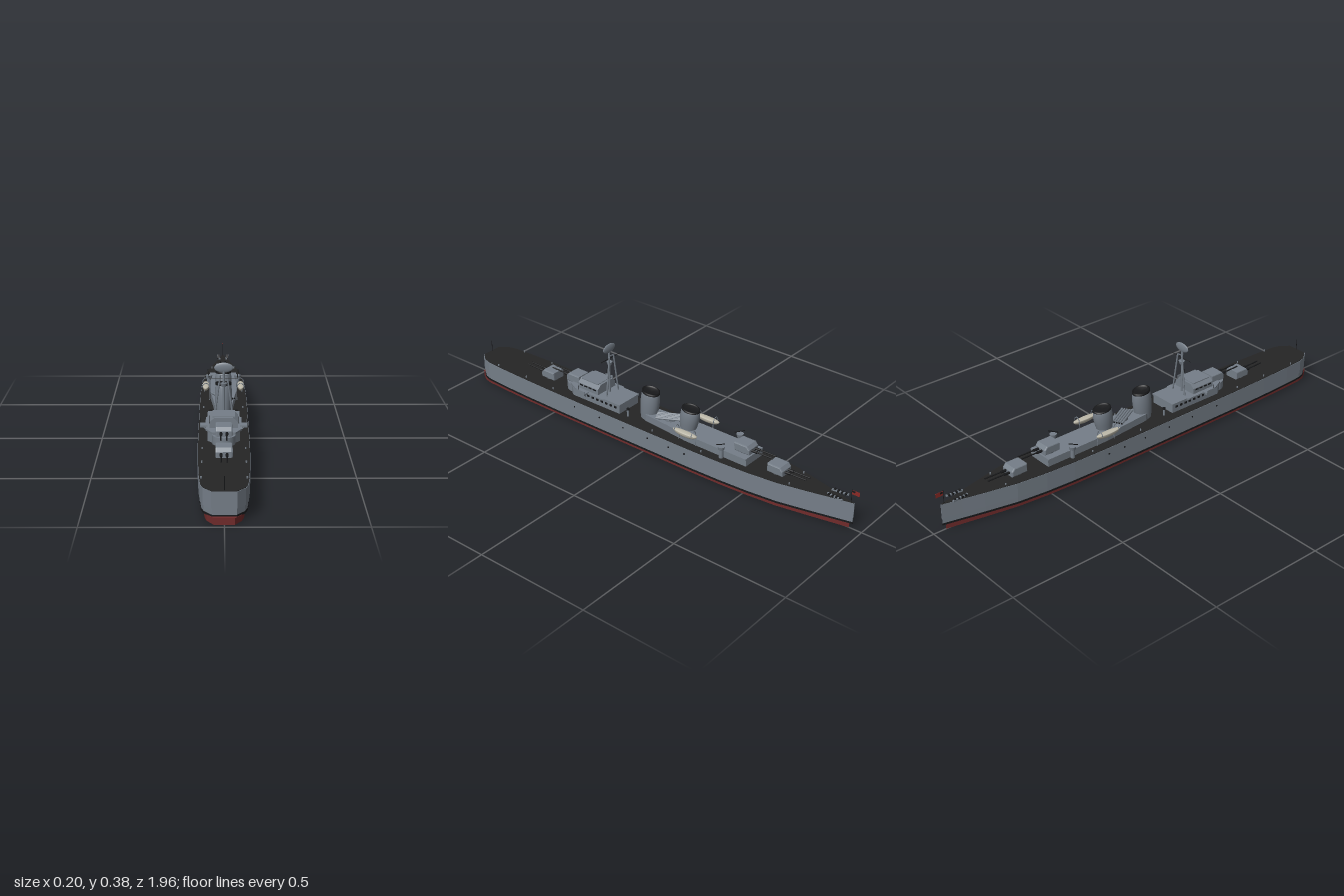
import * as THREE from 'three';

const mat = (name, color, side = THREE.FrontSide) => {
  const m = new THREE.MeshStandardMaterial({ color, side });
  m.name = name;
  return m;
};

export function createModel() {
  const ship = new THREE.Group();
  ship.name = 'warship';
  const grey = mat('hull grey', 0x757e88);
  const dark = mat('deck black', 0x252525);
  const black = mat('gun black', 0x18191b);
  const red = mat('keel red', 0x702b2b);
  const cream = mat('boat cream', 0xbdb9aa);
  const flagRed = mat('flag red', 0x8c2a26, THREE.DoubleSide);

  const add = (name, geo, m, x = 0, y = 0, z = 0, parent = ship) => {
    const mesh = new THREE.Mesh(geo, m);
    mesh.name = name;
    mesh.position.set(x, y, z);
    parent.add(mesh);
    return mesh;
  };
  const box = (name, m, w, h, d, x, y, z, parent) =>
    add(name, new THREE.BoxGeometry(w, h, d), m, x, y, z, parent);
  const cyl = (name, m, r0, r1, h, x, y, z, parent, n = 16) =>
    add(name, new THREE.CylinderGeometry(r1, r0, h, n), m, x, y, z, parent);
  // Round bar between two points
  const bar = (name, m, a, b, r, parent) => {
    const A = new THREE.Vector3(...a), B = new THREE.Vector3(...b);
    const mesh = cyl(name, m, r, r, A.distanceTo(B), 0, 0, 0, parent, 8);
    mesh.position.copy(A).add(B).multiplyScalar(0.5);
    mesh.quaternion.setFromUnitVectors(new THREE.Vector3(0, 1, 0), B.sub(A).normalize());
    return mesh;
  };
  // Vertical prism from a half plan of [x, z] points, mirrored in x
  const slab = (name, m, half, y0, y1, sx = 1, sz = 1, dz = 0) => {
    const pts = [...half, ...half.slice().reverse().map(([x, z]) => [-x, z])]
      .map(([x, z]) => new THREE.Vector2(x * sx, -(z * sz + dz)));
    const geo = new THREE.ExtrudeGeometry(new THREE.Shape(pts), { depth: y1 - y0, bevelEnabled: false });
    geo.rotateX(-Math.PI / 2);
    return add(name, geo, m, 0, y0, 0);
  };

  // Hull, stacked from one plan outline
  const plan = [[0.001, -0.96], [0.02, -0.88], [0.042, -0.79], [0.071, -0.66], [0.086, -0.53],
    [0.094, -0.4], [0.098, -0.25], [0.099, 0], [0.099, 0.45], [0.096, 0.65], [0.091, 0.8],
    [0.085, 0.89], [0.075, 0.925], [0.045, 0.962]];
  slab('keel', red, plan, 0, 0.024, 0.81, 1, 0.015);
  slab('waterlineBand', black, plan, 0.022, 0.03, 0.965);
  slab('lowerHull', grey, plan, 0.03, 0.053, 0.95, 0.998);
  slab('upperHull', grey, plan, 0.053, 0.1145, 1);
  slab('deck', dark, plan, 0.1145, 0.1165, 0.985, 0.997);

  // Portholes
  for (const s of [-1, 1]) {
    for (const z of [0.36, 0.22, 0.09, -0.04, -0.15, -0.23]) {
      const p = cyl('porthole', black, 0.0035, 0.0035, 0.004, s * 0.099, 0.088, z, ship, 10);
      p.rotation.z = Math.PI / 2;
    }
  }

  // Aft deckhouse
  slab('aftDeckhouse', grey, [[0.055, -0.5], [0.055, -0.2], [0.045, -0.1], [0.035, 0.02], [0.022, 0.055]], 0.116, 0.147);
  slab('aftGunPlatform', grey, [[0.058, -0.5], [0.058, -0.4]], 0.143, 0.15);

  // Forward deckhouse and bridge
  slab('forwardDeckhouse', grey, [[0.06, 0.143], [0.062, 0.4], [0.04, 0.43]], 0.116, 0.152);
  slab('bridgeDeck', grey, [[0.063, 0.14], [0.063, 0.22], [0.07, 0.23], [0.07, 0.38], [0.045, 0.43]], 0.152, 0.159);
  cyl('barbette', grey, 0.044, 0.044, 0.035, 0, 0.1325, 0.43, ship, 24);
  const house = new THREE.Shape([[-0.055, 0], [0.055, 0], [0.055, 0.024], [0.036, 0.041], [-0.036, 0.041], [-0.055, 0.024]]
    .map(([x, y]) => new THREE.Vector2(x, y)));
  add('wheelhouse', new THREE.ExtrudeGeometry(house, { depth: 0.11, bevelEnabled: false }), grey, 0, 0.159, 0.265);
  box('wheelhouseRoof', grey, 0.086, 0.004, 0.09, 0, 0.2, 0.32);
  for (const s of [-1, 1]) {
    for (let i = 0; i < 9; i++)
      box('deckhouseWindow', black, 0.003, 0.009, 0.012, s * 0.0613, 0.141, 0.165 + i * 0.025);
    for (let i = 0; i < 4; i++)
      box('wheelhouseWindow', black, 0.003, 0.006, 0.016, s * 0.055, 0.177, 0.285 + i * 0.024);
    // Bridge wings
    box('bridgeWing', grey, 0.03, 0.008, 0.04, s * 0.077, 0.158, 0.33);
    box('wingScreen', grey, 0.003, 0.014, 0.04, s * 0.0905, 0.167, 0.33);
    bar('wingPost', black, [s * 0.09, 0.16, 0.345], [s * 0.09, 0.192, 0.345], 0.001);
    bar('wingBrace', grey, [s * 0.062, 0.135, 0.33], [s * 0.086, 0.156, 0.33], 0.002);
    // Deck vents
    cyl('deckVent', grey, 0.005, 0.005, 0.03, s * 0.05, 0.131, 0.105, ship, 10);
    cyl('ventCap', black, 0.007, 0.006, 0.008, s * 0.05, 0.149, 0.105, ship, 10);
  }

  // Twin gun turrets, dir is the way the barrels point
  const side = new THREE.Shape([[-0.036, 0], [0.036, 0], [0.036, 0.022], [0.024, 0.036], [-0.036, 0.036]]
    .map(([x, y]) => new THREE.Vector2(x, y)));
  const turret = (y, z, dir) => {
    const g = new THREE.Group();
    g.name = 'gunTurret';
    g.position.set(0, y, z);
    g.rotation.y = dir > 0 ? 0 : Math.PI;
    const geo = new THREE.ExtrudeGeometry(side, { depth: 0.052, bevelSize: 0.004, bevelOffset: -0.004, bevelThickness: 0.006, bevelSegments: 2 });
    geo.translate(0, 0, -0.026).rotateY(-Math.PI / 2);
    add('turretHouse', geo, grey, 0, 0.003, 0, g);
    cyl('turretRing', grey, 0.028, 0.028, 0.008, 0, 0.003, 0, g, 20);
    for (const s of [-1, 1]) {
      bar('barrelSleeve', black, [s * 0.011, 0.017, 0.03], [s * 0.011, 0.018, 0.06], 0.0055, g);
      bar('barrel', black, [s * 0.011, 0.018, 0.05], [s * 0.011, 0.02, 0.135], 0.0028, g);
    }
    ship.add(g);
  };
  turret(0.116, 0.578, 1);
  turret(0.15, 0.43, 1);
  turret(0.15, -0.46, -1);
  turret(0.116, -0.618, -1);

  // Raked funnels with black caps
  const funnel = (y, z, h, r) => {
    const f = new THREE.Group();
    f.name = 'funnel';
    f.position.set(0, y, z);
    const profile = [[0.86, 0], [0.98, 0.3], [1.03, 0.6], [0.98, 0.85], [0.9, 0.93]];
    const lean = (geo) => {
      const p = geo.attributes.position;
      for (let i = 0; i < p.count; i++) {
        const t = p.getY(i) / h;
        p.setZ(i, p.getZ(i) * 1.22 - t * 0.012);
        p.setY(i, p.getY(i) + p.getZ(i) * 0.12 * t);
      }
      geo.computeVertexNormals();
      return geo;
    };
    const lathe = (pts) => lean(new THREE.LatheGeometry(pts.map(([a, b]) => new THREE.Vector2(a * r, b * h)), 28));
    add('funnelCasing', lathe(profile), grey, 0, 0, 0, f);
    add('funnelCap', lathe([[0.9, 0.92], [0.97, 0.93], [0.95, 1], [0.82, 1], [0.78, 0.95], [0, 0.95]]), black, 0, 0, 0, f);
    ship.add(f);
  };
  funnel(0.116, 0.034, 0.131, 0.034);
  funnel(0.145, -0.173, 0.094, 0.034);

  // Tripod mast with lookout, yards and oval radar dish
  const mast = new THREE.Group();
  mast.name = 'mast';
  ship.add(mast);
  bar('mastPole', grey, [0, 0.155, 0.248], [0, 0.35, 0.248], 0.0045, mast);
  for (const s of [-1, 1])
    bar('mastLeg', grey, [s * 0.037, 0.157, 0.232], [s * 0.013, 0.333, 0.235], 0.0035, mast);
  cyl('lookout', grey, 0.009, 0.013, 0.014, 0, 0.296, 0.246, mast);
  bar('yard', black, [-0.057, 0.321, 0.242], [0.057, 0.321, 0.242], 0.0015, mast);
  bar('lowerYard', grey, [-0.013, 0.333, 0.238], [0.013, 0.333, 0.238], 0.002, mast);
  add('radarDish', new THREE.SphereGeometry(1, 28, 14), grey, 0, 0.365, 0.247, mast).scale.set(0.037, 0.02, 0.006);

  // Trainable torpedo tubes
  const tubes = new THREE.Group();
  tubes.name = 'torpedoTubes';
  tubes.position.set(0, 0.147, -0.08);
  tubes.rotation.y = 0.5;
  cyl('tubeMount', grey, 0.024, 0.024, 0.008, 0, 0.004, 0, tubes, 20);
  for (let i = -2; i <= 2; i++) {
    bar('torpedoTube', grey, [i * 0.0105, 0.013, -0.057], [i * 0.0105, 0.013, 0.057], 0.005, tubes);
    bar('tubeMouth', black, [i * 0.0105, 0.013, -0.058], [i * 0.0105, 0.013, 0.058], 0.0038, tubes);
  }
  ship.add(tubes);

  for (const s of [-1, 1]) {
    // Ship's boats hung from curved davits
    add('shipsBoat', new THREE.SphereGeometry(1, 20, 12, 0, Math.PI * 2, Math.PI / 2, Math.PI / 2).scale(0.014, 0.02, 0.06), cream, s * 0.074, 0.17, -0.213);
    add('boatCover', new THREE.SphereGeometry(1, 20, 8, 0, Math.PI * 2, 0, Math.PI / 2).scale(0.014, 0.004, 0.06), cream, s * 0.074, 0.17, -0.213);
    for (const z of [-0.255, -0.17]) {
      const path = new THREE.CatmullRomCurve3([[0.058, 0.116], [0.057, 0.165], [0.063, 0.184], [0.075, 0.189], [0.086, 0.18], [0.088, 0.17]]
        .map(([x, y]) => new THREE.Vector3(s * x, y, z)));
      add('davit', new THREE.TubeGeometry(path, 18, 0.0018, 6), grey);
    }
    // Light guns in round tubs
    cyl('gunTubStand', grey, 0.009, 0.009, 0.04, s * 0.062, 0.136, -0.385, ship, 12);
    cyl('gunTub', grey, 0.012, 0.015, 0.014, s * 0.062, 0.161, -0.385);
    bar('lightGun', black, [s * 0.062, 0.165, -0.36], [s * 0.066, 0.188, -0.405], 0.002);
    // Stern racks following the deck edge
    const rack = box('depthChargeRack', grey, 0.008, 0.006, 0.07, s * 0.02, 0.124, -0.885);
    rack.rotation.y = s * -0.12;
    for (let i = 0; i < 4; i++) {
      const drum = cyl('depthCharge', black, 0.0045, 0.0045, 0.011, s * 0.02, 0.126, -0.861 - i * 0.016, ship, 10);
      drum.rotation.z = Math.PI / 2;
    }
    // Bollards
    for (const z of [0.83, 0.66, 0.5, -0.05, -0.3, -0.7])
      cyl('bollard', grey, 0.003, 0.003, 0.008, s * (z < -0.6 ? 0.05 : 0.081), 0.12, z, ship, 8);
  }

  // Staffs and flag
  bar('bowStaff', black, [0, 0.116, 0.953], [0, 0.168, 0.953], 0.0013);
  bar('flagStaff', black, [0, 0.116, -0.945], [0, 0.172, -0.945], 0.0013);
  box('flag', flagRed, 0.0015, 0.018, 0.033, 0, 0.16, -0.962);
  box('flagPatch', black, 0.002, 0.008, 0.012, 0, 0.164, -0.953);
  return ship;
}
